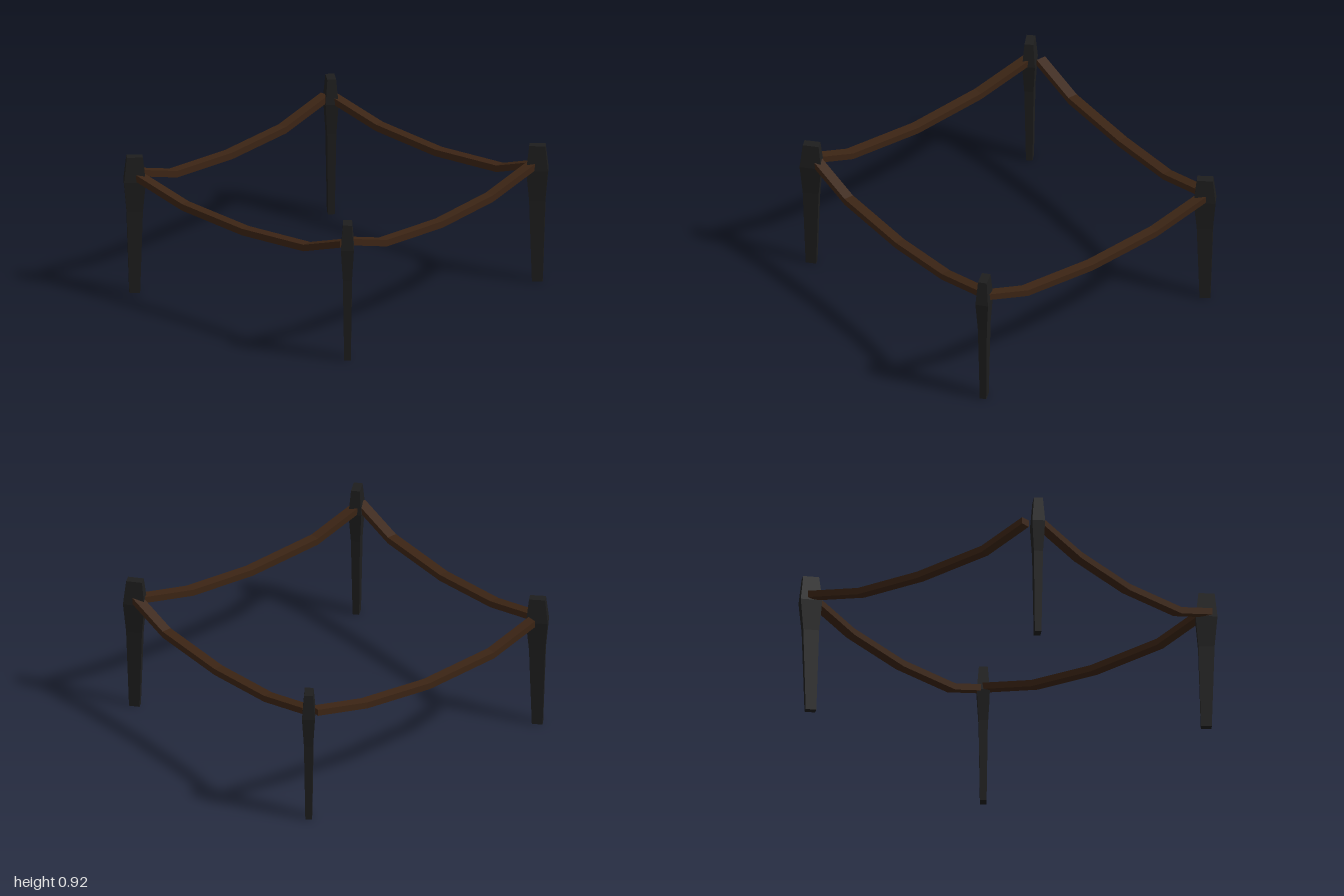
import * as THREE from 'three';

const iron = new THREE.MeshStandardMaterial({ color: 0x1e1e1e, flatShading: true });
const leather = new THREE.MeshStandardMaterial({ color: 0x3b2414, flatShading: true });

// Capped loft through four-cornered rings, corners counter-clockwise about the travel direction
function loft(rings) {
  const pos = [];
  const quad = (a, b, c, d) => [a, b, c, a, c, d].forEach((p) => pos.push(p.x, p.y, p.z));
  for (let i = 0; i < rings.length - 1; i++) {
    const r = rings[i], n = rings[i + 1];
    for (let k = 0; k < 4; k++) quad(r[k], r[(k + 1) % 4], n[(k + 1) % 4], n[k]);
  }
  quad(...[...rings[0]].reverse());
  quad(...rings[rings.length - 1]);
  const geo = new THREE.BufferGeometry();
  geo.setAttribute('position', new THREE.Float32BufferAttribute(pos, 3));
  geo.computeVertexNormals();
  return geo;
}

// Stake profile: height, half length, half thickness
const stakeProfile = [
  [0, 0.034, 0.021],
  [0.55, 0.051, 0.029],
  [0.755, 0.069, 0.041],
  [0.92, 0.051, 0.028],
];

// Sagging strap through points; each section is an upright rectangle
function strapGeometry(points) {
  const pts = points.map((p) => new THREE.Vector3(...p));
  const dir = pts[pts.length - 1].clone().sub(pts[0]).setY(0).normalize();
  const side = new THREE.Vector3(0, 1, 0).cross(dir).multiplyScalar(0.033);
  const up = new THREE.Vector3(0, 0.022, 0);
  return loft(pts.map((p) => [[1, 1], [-1, 1], [-1, -1], [1, -1]].map(([s, u]) =>
    p.clone().addScaledVector(side, s).addScaledVector(up, u))));
}

export function createModel() {
  const model = new THREE.Group();
  const add = (name, geo, mat) => {
    const mesh = new THREE.Mesh(geo, mat);
    mesh.name = name;
    model.add(mesh);
    return mesh;
  };

  // Corner stakes, flat blades turned along the diagonals: name, x, z, turn in degrees
  const stakeGeo = loft(stakeProfile.map(([y, l, t]) =>
    [[1, 1], [1, -1], [-1, -1], [-1, 1]].map(([a, b]) => new THREE.Vector3(a * l, y, b * t))));
  [
    ['frontRightStake', -0.878, 0.882, 41],
    ['backRightStake', -0.922, -0.88, -45],
    ['backLeftStake', 0.918, -0.868, 49],
    ['frontLeftStake', 0.918, 0.88, -51],
  ].forEach(([name, x, z, deg]) => {
    const stake = add(name, stakeGeo, iron);
    stake.position.set(x, 0, z);
    stake.rotation.y = THREE.MathUtils.degToRad(deg);
  });

  // Straps hanging between the stakes
  add('frontStrap', strapGeometry([
    [-0.85, 0.783, 0.86], [-0.52, 0.679, 0.86], [0.01, 0.65, 0.86], [0.49, 0.686, 0.86], [0.89, 0.783, 0.86],
  ]), leather);
  add('backStrap', strapGeometry([
    [-0.85, 0.783, -0.912], [-0.52, 0.679, -0.912], [0, 0.65, -0.912], [0.49, 0.686, -0.894], [0.89, 0.783, -0.894],
  ]), leather);
  add('rightStrap', strapGeometry([
    [-0.903, 0.787, 0.87], [-0.903, 0.681, 0.56], [-0.903, 0.652, 0.04], [-0.911, 0.69, -0.46], [-0.911, 0.783, -0.85],
  ]), leather);
  add('leftStrap', strapGeometry([
    [0.92, 0.787, 0.87], [0.92, 0.681, 0.56], [0.92, 0.652, 0.04], [0.92, 0.69, -0.46], [0.92, 0.783, -0.85],
  ]), leather);

  return model;
}
